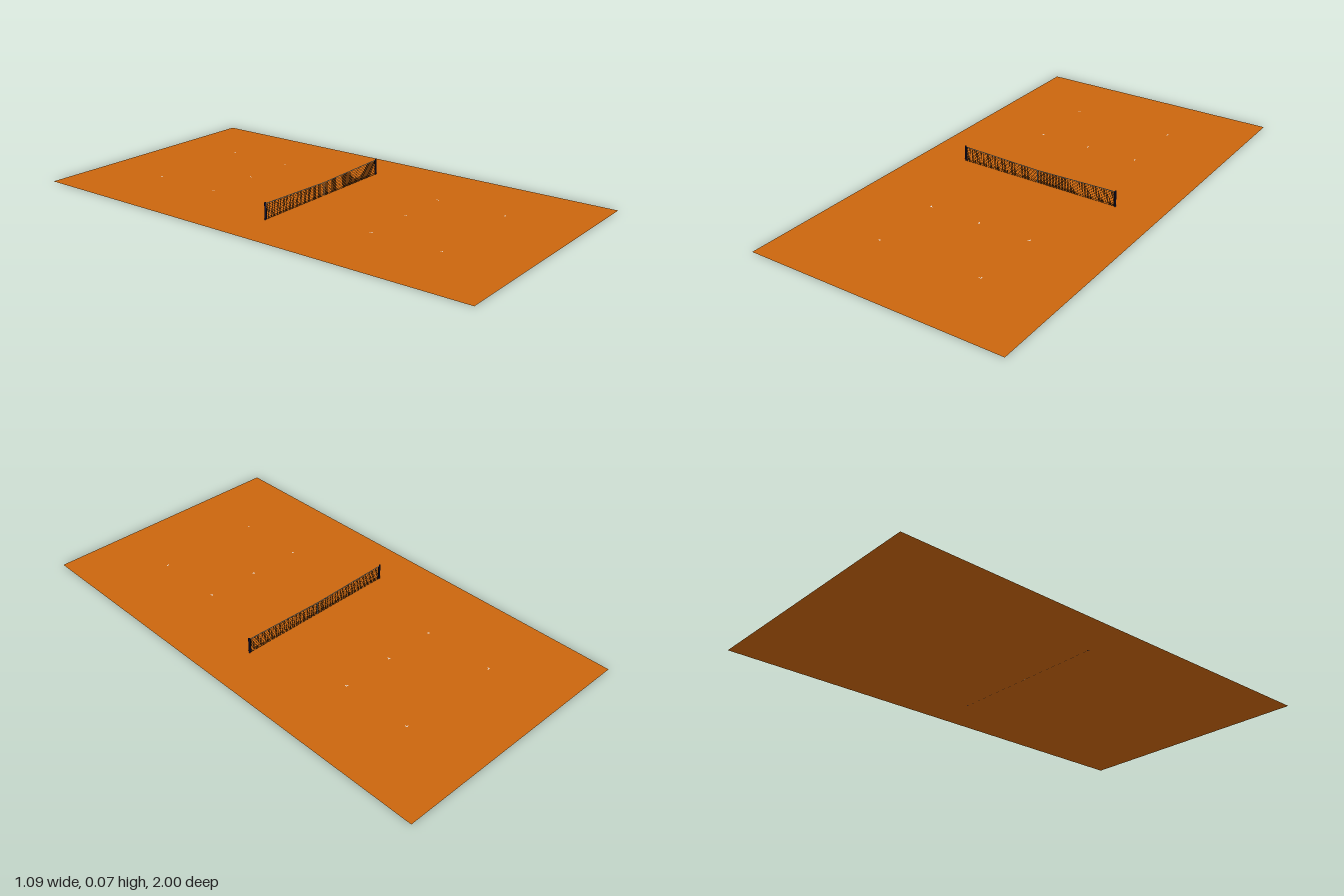
import * as THREE from 'three';

const mat = (name, color, side = THREE.FrontSide) => {
  const m = new THREE.MeshStandardMaterial({ color, side });
  m.name = name;
  return m;
};

export function createModel() {
  const clay = mat('clay orange', 0xcb660d, THREE.DoubleSide);
  const white = mat('line white', 0xf2f2f2);
  const tape = mat('tape grey', 0xb4b8b0);
  const cord = mat('cord black', 0x0c0c10);
  const navy = mat('post navy', 0x12123a);

  const model = new THREE.Group();
  model.name = 'tennisCourt';

  const add = (parent, name, geometry, material, x, y, z) => {
    const mesh = new THREE.Mesh(geometry, material);
    mesh.name = name;
    mesh.position.set(x, y, z);
    parent.add(mesh);
    return mesh;
  };

  // Flat playing surface
  add(model, 'courtSurface', new THREE.PlaneGeometry(1.094, 2).rotateX(-Math.PI / 2), clay, 0, 0, 0);

  // Small painted marks where the court lines meet
  const marks = new THREE.Group();
  marks.name = 'lineMarks';
  model.add(marks);
  const addMark = (x, z, sx, sz) => {
    const flat = (w, d) => new THREE.PlaneGeometry(w, d).rotateX(-Math.PI / 2);
    add(marks, 'crossMark', flat(0.01, 0.003), white, x - sx * 0.003, 0.0006, z);
    add(marks, 'lengthMark', flat(0.003, 0.01), white, x, 0.0007, z - sz * 0.003);
  };
  for (const sz of [-1, 1]) {
    addMark(0, sz * 0.393, 0, sz);
    for (const sx of [-1, 1]) {
      addMark(sx * 0.228, sz * 0.69, sx, sz);
      addMark(sx * 0.228, sz * 0.393, sx, sz);
    }
  }

  // Net, sagging in a straight line from each post to the middle
  const net = new THREE.Group();
  net.name = 'net';
  model.add(net);
  const halfWidth = 0.352, endTop = 0.064, midTop = 0.055, wire = 0.0008;
  const topAt = (x) => midTop + (endTop - midTop) * Math.abs(x) / halfWidth;

  // A bar running from the middle to one post at a fraction of the net height
  const addBar = (name, side, fraction, thick, depth, material) => {
    const y0 = midTop * fraction, y1 = endTop * fraction;
    const bar = add(net, name, new THREE.BoxGeometry(Math.hypot(halfWidth, y1 - y0), thick, depth),
      material, side * halfWidth / 2, Math.max((y0 + y1) / 2, thick / 2), 0);
    bar.rotation.z = side * Math.atan2(y1 - y0, halfWidth);
  };
  const rows = 9;
  for (const side of [-1, 1]) {
    for (let i = 0; i < rows; i++) addBar('rowCord', side, i / rows, wire, wire, cord);
    addBar('topTape', side, 0.985, 0.0025, 0.002, tape);
  }

  // Upright cords
  const columns = 100;
  for (let i = 0; i <= columns; i++) {
    const x = -halfWidth + (2 * halfWidth * i) / columns;
    const h = topAt(x);
    add(net, 'uprightCord', new THREE.BoxGeometry(wire, h, wire), cord, x, h / 2, 0);
  }
  add(net, 'centreStrap', new THREE.BoxGeometry(0.003, midTop, 0.0024), tape, 0, midTop / 2, 0);

  // Posts with a dark edge strip holding the net
  for (const side of [-1, 1]) {
    add(model, 'post', new THREE.CylinderGeometry(0.0035, 0.0035, 0.068, 12), navy, side * 0.357, 0.034, 0);
    add(model, 'netEdge', new THREE.BoxGeometry(0.003, 0.064, 0.002), cord, side * 0.351, 0.032, 0);
  }
  return model;
}
